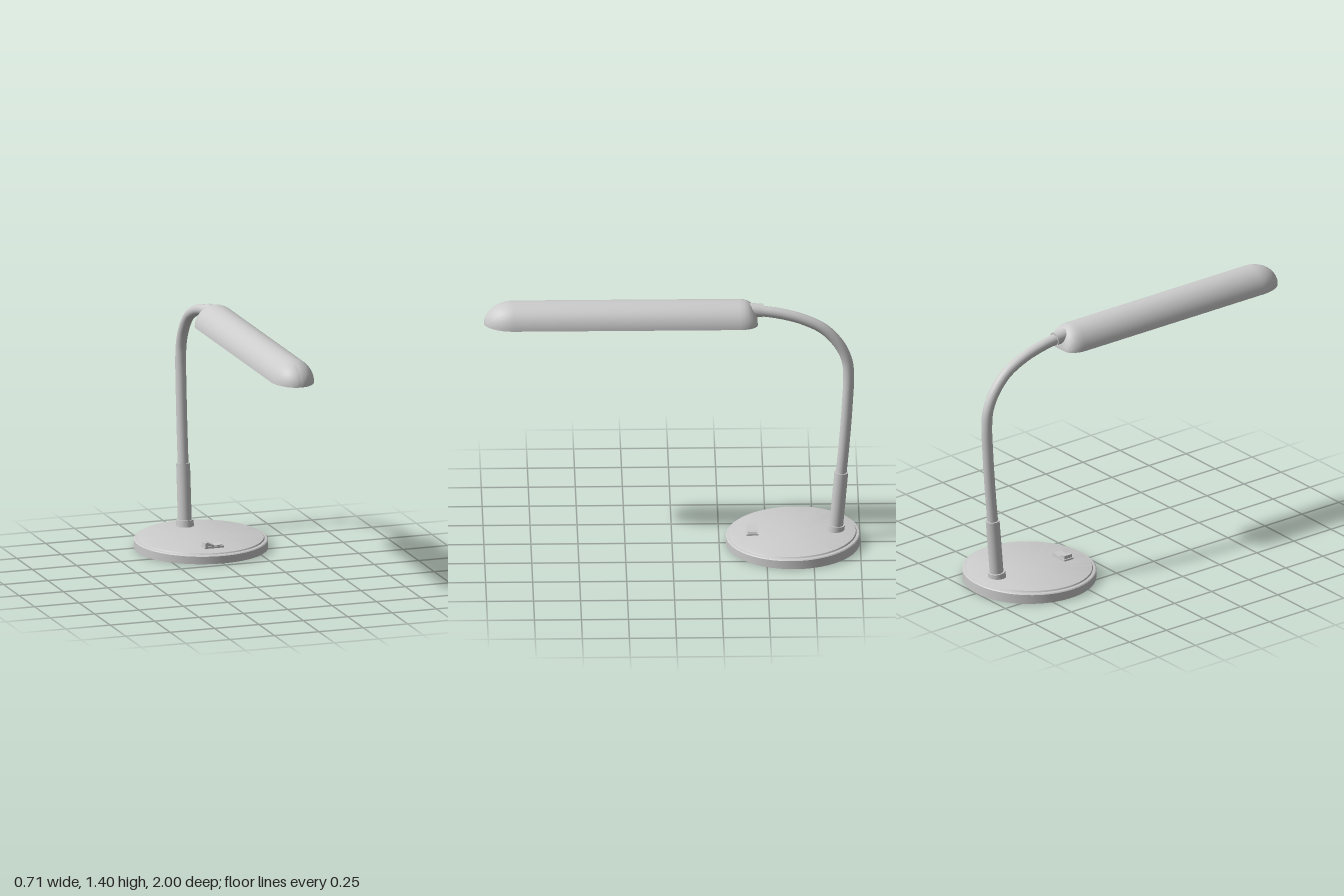
import * as THREE from 'three';
import { toCreasedNormals } from 'three/addons/utils/BufferGeometryUtils.js';

const mat = new THREE.MeshStandardMaterial({ color: 0xcccccc });
const CX = -0.011;          // the arm and shade sit a little off the base centre
const BASE_Z = -0.643;
const SHADE_Y = 1.28;
const v = (y, z) => new THREE.Vector3(CX, y, z);

function add(group, name, geometry) {
  const mesh = new THREE.Mesh(geometry, mat);
  mesh.name = name;
  group.add(mesh);
  return mesh;
}

// Cylinder running from a to b
function rod(group, name, a, b, ra, rb = ra) {
  const dir = b.clone().sub(a);
  const mesh = add(group, name, new THREE.CylinderGeometry(rb, ra, dir.length(), 32));
  mesh.position.copy(a).add(b).multiplyScalar(0.5);
  mesh.quaternion.setFromUnitVectors(new THREE.Vector3(0, 1, 0), dir.normalize());
}

// Skin over half-ellipse sections [z, halfWidth, height]
function loftHalfEllipses(sections, inward) {
  const n = 32, pos = [], idx = [];
  for (const [z, w, h] of sections)
    for (let i = 0; i <= n; i++) {
      const a = (Math.PI * i) / n;
      pos.push(w * Math.cos(a), h * Math.sin(a), z);
    }
  for (let s = 0; s < sections.length - 1; s++)
    for (let i = 0; i < n; i++) {
      const a = s * (n + 1) + i, b = a + 1, c = a + n + 1, d = c + 1;
      if (inward) idx.push(a, c, b, b, c, d);
      else idx.push(a, b, c, b, d, c);
    }
  const g = new THREE.BufferGeometry();
  g.setAttribute('position', new THREE.Float32BufferAttribute(pos, 3));
  g.setIndex(idx);
  return toCreasedNormals(g, 0.6);
}

// Rounded nose sections from z0 to z1
function nose(z0, z1, w, h) {
  const out = [];
  for (let i = 0; i <= 14; i++) {
    const a = (Math.PI / 2) * (i / 14), c = Math.cos(a);
    out.push([z0 + (z1 - z0) * Math.sin(a), w * c, h * c]);
  }
  return out;
}

const outline = (sections) => [
  ...sections.map(([z, w]) => new THREE.Vector2(w, z)),
  ...sections.slice(0, -1).reverse().map(([z, w]) => new THREE.Vector2(-w, z)),
];

function createBase() {
  const group = new THREE.Group();
  group.name = 'base';
  // Turned disc whose top is tilted, higher at the back
  const profile = [[0, 0], [0.356, 0], [0.357, 0.047], [0.352, 0.052], [0.338, 0.054],
    [0.334, 0.061], [0.328, 0.063], [0, 0.063]].map(([x, y]) => new THREE.Vector2(x, y));
  const g = new THREE.LatheGeometry(profile, 72);
  const p = g.attributes.position;
  for (let i = 0; i < p.count; i++) p.setY(i, p.getY(i) * (1 - 0.36 * p.getZ(i)));
  add(group, 'baseDisc', toCreasedNormals(g, 0.5)).position.z = BASE_Z;

  // Rocker switch: frame and V-topped key
  const frame = add(group, 'switchFrame', new THREE.BoxGeometry(0.108, 0.03, 0.062));
  frame.position.set(CX, 0.052, -0.427);
  const key = new THREE.Shape([[-0.047, 0.05], [0.047, 0.05], [0.047, 0.074], [0.005, 0.07],
    [-0.037, 0.088], [-0.047, 0.086]].map(([x, y]) => new THREE.Vector2(x, y)));
  add(group, 'switchKey', new THREE.ExtrudeGeometry(key, { depth: 0.05, bevelEnabled: false }))
    .position.set(CX, 0, -0.452);
  return group;
}

function createArm() {
  const group = new THREE.Group();
  group.name = 'arm';
  rod(group, 'collar', v(0.05, -0.868), v(0.098, -0.873), 0.049, 0.046);
  rod(group, 'sleeve', v(0.06, -0.87), v(0.402, -0.9), 0.037);
  const path = new THREE.CatmullRomCurve3([v(0.38, -0.898), v(0.6, -0.918), v(0.8, -0.932),
    v(0.96, -0.939), v(1.05, -0.93), v(1.14, -0.89), v(1.23, -0.81), v(1.29, -0.695),
    v(1.325, -0.57), v(1.342, -0.46)]);
  add(group, 'gooseneck', new THREE.TubeGeometry(path, 80, 0.029, 24));
  rod(group, 'neckSocket', v(1.351, -0.38), v(1.342, -0.483), 0.036);
  return group;
}

function createShade() {
  const group = new THREE.Group();
  group.name = 'shade';
  group.position.set(CX, SHADE_Y, 0);
  const outer = [[-0.455, 0.058, 0], [-0.455, 0.058, 0.02], [-0.449, 0.075, 0.045],
    [-0.438, 0.09, 0.072], [-0.422, 0.101, 0.097], [-0.405, 0.108, 0.111],
    [-0.385, 0.113, 0.118], [-0.36, 0.115, 0.121], ...nose(0.84, 1, 0.115, 0.121)];
  const inner = [[-0.25, 0.102, 0], [-0.25, 0.102, 0.108], ...nose(0.83, 0.982, 0.102, 0.108)];
  add(group, 'outerShell', loftHalfEllipses(outer, false));
  add(group, 'reflector', loftHalfEllipses(inner, true));

  // Downward rim, closed off under the back end
  const rim = new THREE.Shape(outline(outer));
  rim.holes.push(new THREE.Path(outline(inner)));
  add(group, 'rimAndEndPlate', new THREE.ShapeGeometry(rim).rotateX(Math.PI / 2));

  // U-shaped lamp tube
  const bend = new THREE.CurvePath();
  const at = (x, z) => new THREE.Vector3(x, 0.035, z);
  bend.add(new THREE.LineCurve3(at(-0.03, -0.26), at(-0.03, 0.83)));
  bend.add(new THREE.CubicBezierCurve3(at(-0.03, 0.83), at(-0.03, 0.87), at(0.03, 0.87), at(0.03, 0.83)));
  bend.add(new THREE.LineCurve3(at(0.03, 0.83), at(0.03, -0.26)));
  add(group, 'lampTube', new THREE.TubeGeometry(bend, 160, 0.02, 16));
  return group;
}

export function createModel() {
  const model = new THREE.Group();
  model.name = 'deskLamp';
  model.add(createBase(), createArm(), createShade());
  return model;
}
